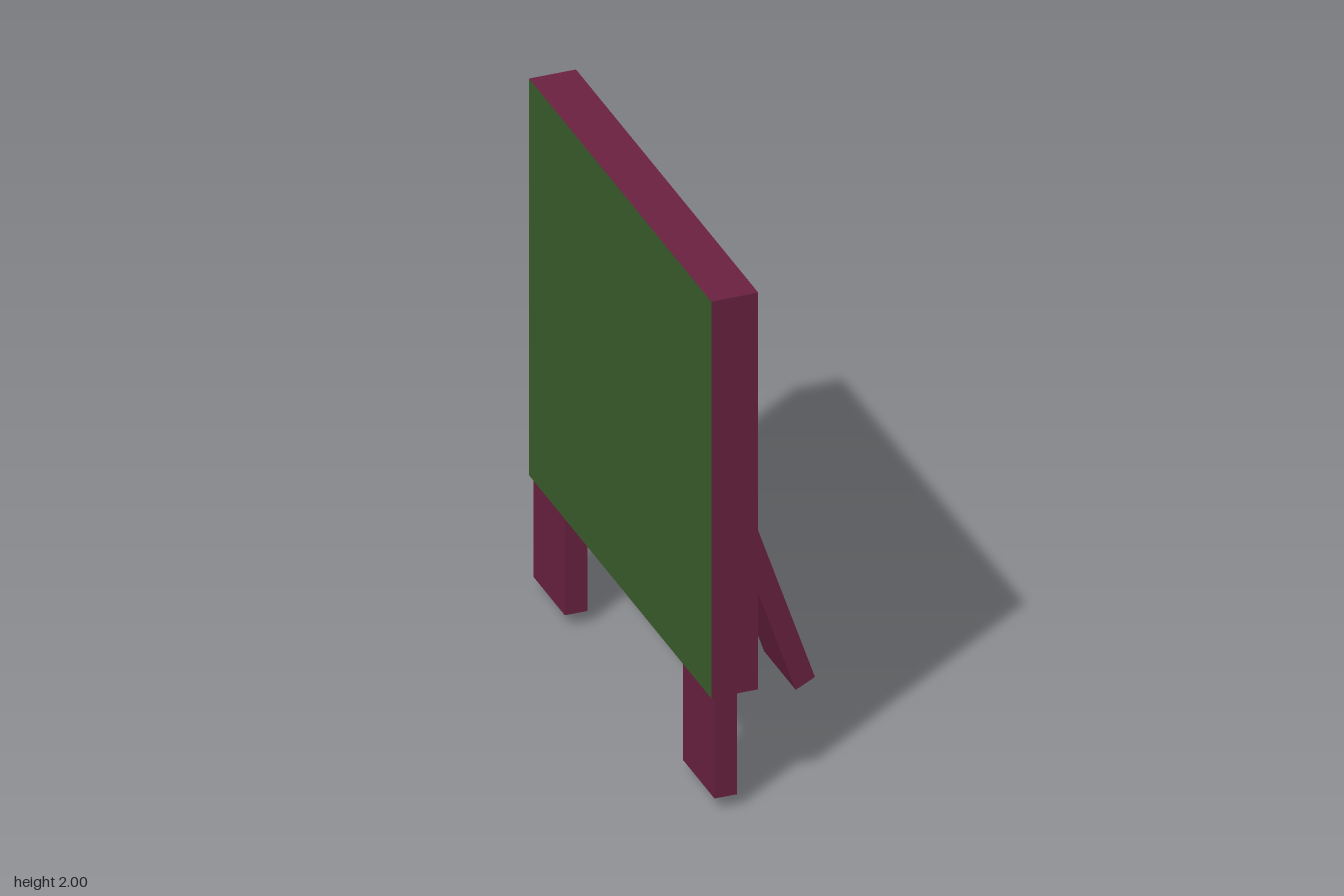
import * as THREE from 'three';

const maroon = new THREE.MeshStandardMaterial({ color: 0x6a2140, side: THREE.DoubleSide, flatShading: true });
const green = new THREE.MeshStandardMaterial({ color: 0x385c2c, side: THREE.DoubleSide, flatShading: true });

// Box between two corners with one face left open (0..5 = +x, -x, +y, -y, +z, -z)
function openBox(min, max, openFace) {
  const size = max.map((v, i) => v - min[i]);
  const geo = new THREE.BoxGeometry(...size);
  geo.translate(...max.map((v, i) => (v + min[i]) / 2));
  const index = Array.from(geo.index.array);
  index.splice(openFace * 6, 6);
  geo.setIndex(index);
  geo.clearGroups();
  return geo;
}

export function createModel() {
  const group = new THREE.Group();
  const add = (name, geo, material = maroon) => {
    const mesh = new THREE.Mesh(geo, material);
    mesh.name = name;
    group.add(mesh);
  };

  // Upright board, its -x side closed by the writing surface
  add('board', openBox([-0.33, 0.445, -0.845], [-0.157, 2, 0.845], 1));
  const surface = new THREE.PlaneGeometry(1.69, 1.555);
  surface.rotateY(-Math.PI / 2);
  surface.translate(-0.33, 1.2225, 0);
  add('writingSurface', surface, green);

  // Two short legs, hollow underneath
  [['leftLeg', 0.552, 0.845], ['rightLeg', -0.836, -0.543]].forEach(([name, z0, z1]) =>
    add(name, openBox([-0.318, 0.05, z0], [-0.235, 0.445, z1], 3)));

  // Slanted rear strut: a box whose ends are moved to the board and the ground
  const strut = openBox([0, 0, -0.14], [1, 1, 0.153], 3);
  const pos = strut.attributes.position;
  for (let i = 0; i < pos.count; i++) {
    const outer = pos.getX(i) > 0.5, top = pos.getY(i) > 0.5;
    if (top) pos.setXY(i, -0.158, outer ? 1.465 : 1.22);
    else pos.setXY(i, outer ? 0.327 : 0.256, outer ? 0.036 : 0);
  }
  strut.computeVertexNormals();
  add('supportStrut', strut);

  return group;
}
